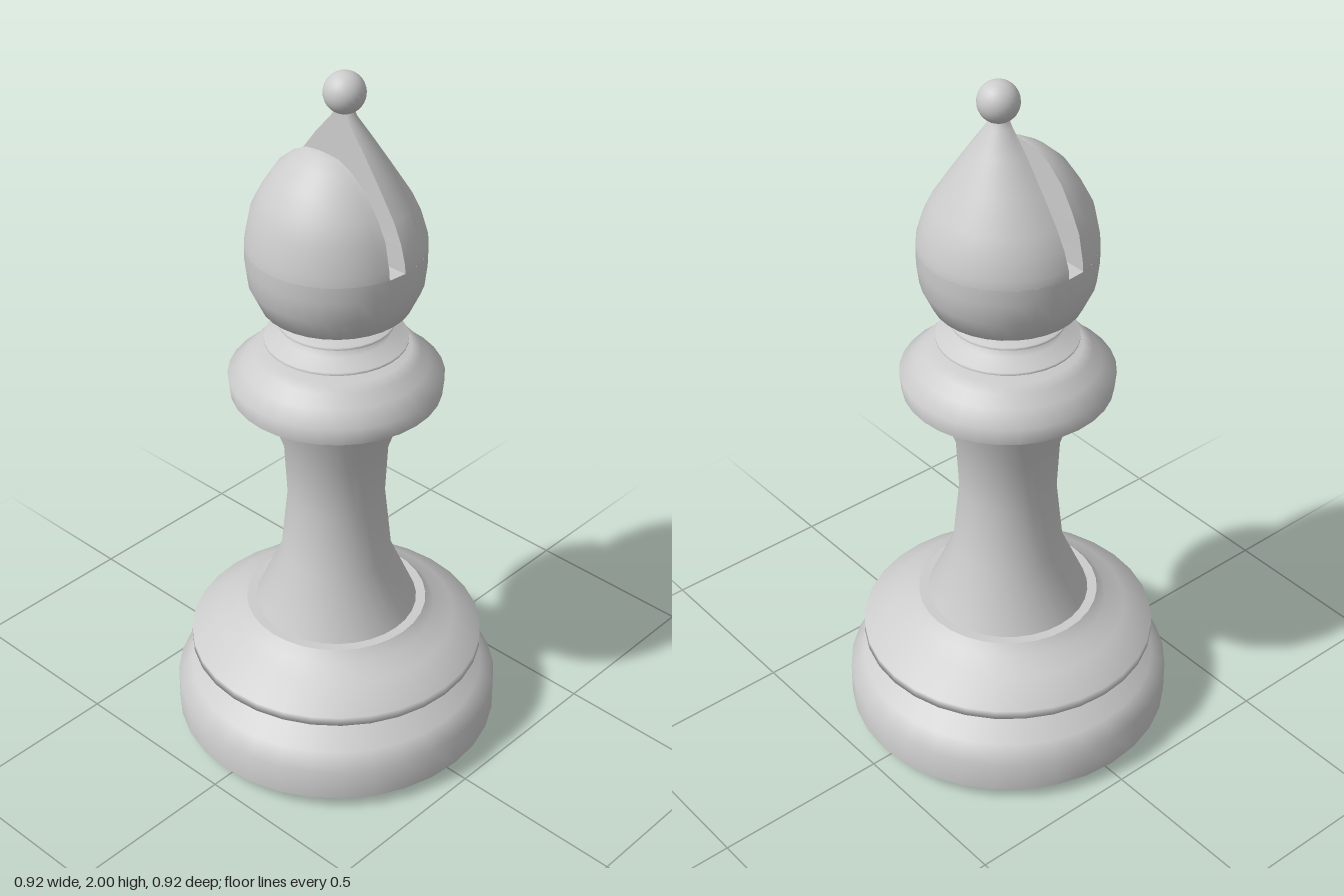
import * as THREE from 'three';

const SIDES = 32;
const ivory = new THREE.MeshStandardMaterial({ color: 0xcccccc });
ivory.name = 'paleGrey';

function addMesh(parent, name, geometry) {
  const mesh = new THREE.Mesh(geometry, ivory);
  mesh.name = name;
  parent.add(mesh);
  return mesh;
}

// Turned part; each profile in the list is smooth, with sharp edges between profiles
function turned(parent, name, profiles) {
  const part = new THREE.Group();
  part.name = name;
  parent.add(part);
  profiles.forEach((profile, i) => {
    const points = profile.map(([r, y]) => new THREE.Vector2(r, y));
    addMesh(part, name + 'Band' + (i + 1), new THREE.LatheGeometry(points, SIDES));
  });
  return part;
}

// Smooth surface through rows of points
function surface(rows, flip) {
  const w = rows[0].length;
  const index = [];
  for (let j = 0; j < rows.length - 1; j++) {
    for (let i = 0; i < w - 1; i++) {
      const a = j * w + i, b = a + w, c = a + 1, d = b + 1;
      index.push(...(flip ? [a, c, b, c, d, b] : [a, b, c, c, b, d]));
    }
  }
  const geometry = new THREE.BufferGeometry();
  geometry.setAttribute('position', new THREE.Float32BufferAttribute(rows.flat(2), 3));
  geometry.setIndex(index);
  geometry.computeVertexNormals();
  return geometry;
}

// Half of the cleft head: circles [y, centre, radius, cut], kept beyond the cut
function lobe(parent, name, side, sections) {
  const n = 20;
  const rows = sections.map(([y, centre, r, cut]) => {
    const span = Math.acos(THREE.MathUtils.clamp((cut - centre) / r, -1, 1));
    return Array.from({ length: n + 1 }, (_, i) => {
      const angle = span * (2 * i / n - 1);
      return [side * (centre + r * Math.cos(angle)), y, r * Math.sin(angle)];
    });
  });
  addMesh(parent, name, surface(rows, side < 0));
  addMesh(parent, name + 'SlitWall', surface(rows.map((row) => [row[n], row[0]]), side < 0));
}

export function createModel() {
  const model = new THREE.Group();
  model.name = 'bishop';

  // Recessed foot and stepped base
  turned(model, 'foot', [
    [[0, 0], [0.41, 0]],
    [[0.41, 0], [0.41, 0.036]],
  ]);
  turned(model, 'base', [
    [[0.41, 0.036], [0.46, 0.036]],
    [[0.46, 0.036], [0.46, 0.13], [0.42, 0.17], [0.355, 0.22]],
    [[0.355, 0.22], [0.415, 0.263], [0.415, 0.29], [0.335, 0.34], [0.28, 0.37], [0.255, 0.397]],
    [[0.255, 0.397], [0.228, 0.397]],
  ]);

  // Waisted stem
  turned(model, 'stem', [
    [[0.228, 0.397], [0.155, 0.565], [0.135, 0.76], [0.143, 0.92], [0.205, 1.1]],
  ]);

  // Collar with two thin rings above it
  turned(model, 'collar', [
    [[0.2, 1.1], [0.285, 1.1]],
    [[0.285, 1.1], [0.29, 1.15], [0.25, 1.185], [0.225, 1.215], [0.2, 1.232], [0.14, 1.24]],
  ]);
  turned(model, 'neckRings', [
    [[0.14, 1.24], [0.192, 1.252]],
    [[0.192, 1.252], [0.192, 1.26], [0.145, 1.278], [0.135, 1.297]],
    [[0.135, 1.297], [0.155, 1.305]],
    [[0.155, 1.305], [0.155, 1.313], [0.115, 1.322]],
  ]);

  // Head: bowl below, two lobes with the slit between them above
  const head = new THREE.Group();
  head.name = 'head';
  model.add(head);
  turned(head, 'headBowl', [
    [[0.115, 1.322], [0.16, 1.342], [0.2, 1.365], [0.23, 1.43], [0.237, 1.49], [0.237, 1.535]],
  ]);
  const floor = addMesh(head, 'slitFloor', new THREE.CircleGeometry(0.237, SIDES));
  floor.rotation.x = -Math.PI / 2;
  floor.position.y = 1.535;

  lobe(head, 'leftLobe', 1, [
    [1.535, 0, 0.237, 0], [1.56, 0, 0.235, 0], [1.61, 0.002, 0.219, 0.002],
    [1.66, 0.004, 0.194, 0.004], [1.74, 0.01, 0.139, 0.006],
    [1.82, 0.018, 0.081, 0.008], [1.88, 0.027, 0.034, 0.01], [1.91, 0.03, 0.021, 0.01],
  ]);
  lobe(head, 'rightLobe', -1, [
    [1.535, 0, 0.237, 0.052], [1.56, 0, 0.235, 0.052], [1.635, 0, 0.22, 0.051],
    [1.69, 0, 0.192, 0.05], [1.745, 0, 0.156, 0.05], [1.785, 0, 0.112, 0.05],
    [1.807, 0, 0.075, 0.05], [1.812, 0, 0.051, 0.05],
  ]);

  // Ball on the tip
  const ball = addMesh(head, 'finial', new THREE.SphereGeometry(0.055, 24, 16));
  ball.position.set(0.03, 1.945, 0);

  return model;
}
